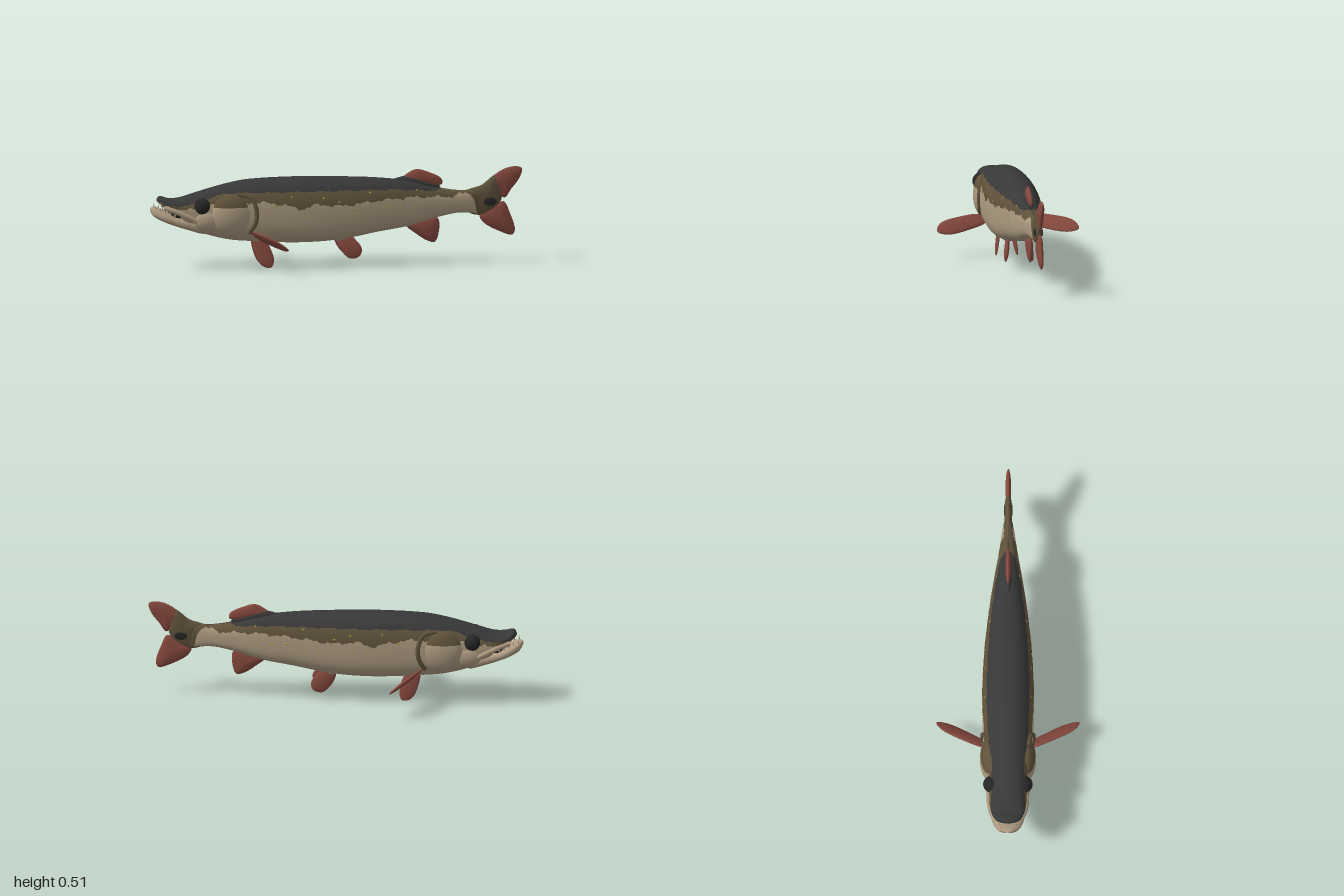
import * as THREE from 'three';

const mat = (name, color, side = THREE.FrontSide) => {
  const m = new THREE.MeshStandardMaterial({ color, side });
  m.name = name;
  return m;
};

// Smooth lookup in a table of [x, a, b, ...] rows
function sample(table, x, col) {
  const n = table.length;
  let i = 0;
  while (i < n - 2 && x > table[i + 1][0]) i++;
  const p = table[i], q = table[i + 1];
  const h = q[0] - p[0], t = THREE.MathUtils.clamp((x - p[0]) / h, 0, 1);
  const slope = (k) => {
    const a = table[Math.max(k - 1, 0)], b = table[Math.min(k + 1, n - 1)];
    return (b[col] - a[col]) / (b[0] - a[0]);
  };
  const t2 = t * t, t3 = t2 * t;
  return (2 * t3 - 3 * t2 + 1) * p[col] + (t3 - 2 * t2 + t) * h * slope(i)
    + (3 * t2 - 2 * t3) * q[col] + (t3 - t2) * h * slope(i + 1);
}

const UP = 2.2, DOWN = 3.2; // roundness above and below the middle

// Half width of a section at height y
function halfWidth(table, x, y) {
  const top = sample(table, x, 1), bot = sample(table, x, 2), w = sample(table, x, 3);
  const t = (y - (top + bot) / 2) / ((top - bot) / 2), n = t > 0 ? UP : DOWN;
  return w * Math.pow(Math.max(0, 1 - Math.pow(Math.abs(t), n)), 1 / n);
}

// Loft through sections, split lengthwise into colour bands at the given heights
function loft(table, bounds, steps, materials) {
  const K = 9, bands = bounds.length + 1, half = bands * K, ring = half * 2;
  const x0 = table[0][0], x1 = table[table.length - 1][0];
  const pos = [], index = [];
  for (let i = 0; i <= steps; i++) {
    const x = x0 + (x1 - x0) * i / steps;
    const top = sample(table, x, 1), bot = sample(table, x, 2), w = sample(table, x, 3);
    const mid = (top + bot) / 2, h = (top - bot) / 2;
    const angles = [Math.PI / 2, ...bounds.map((f) => {
      const t = THREE.MathUtils.clamp((f(x) - mid) / h, -0.999, 0.999);
      return Math.sign(t) * Math.asin(Math.pow(Math.abs(t), (t > 0 ? UP : DOWN) / 2));
    }), -Math.PI / 2];
    for (let j = 0; j < ring; j++) {
      const k = j <= half ? j : ring - j;
      const b = Math.min(Math.floor(k / K), bands - 1);
      const a = THREE.MathUtils.lerp(angles[b], angles[b + 1], (k - b * K) / K);
      const n = a > 0 ? UP : DOWN;
      const y = mid + h * Math.sign(a) * Math.pow(Math.abs(Math.sin(a)), 2 / n);
      const z = w * Math.pow(Math.abs(Math.cos(a)), 2 / n);
      pos.push(x, y, j <= half ? z : -z);
    }
  }
  const g = new THREE.BufferGeometry();
  for (let b = 0; b < bands; b++) {
    const start = index.length;
    for (let i = 0; i < steps; i++) for (let j = 0; j < ring; j++) {
      const k = j < half ? j : ring - 1 - j;
      if (Math.floor(k / K) !== b) continue;
      const p = i * ring + j, q = i * ring + (j + 1) % ring;
      index.push(p, q, p + ring, q, q + ring, p + ring);
    }
    g.addGroup(start, index.length - start, b);
  }
  g.setAttribute('position', new THREE.Float32BufferAttribute(pos, 3));
  g.setIndex(index);
  g.computeVertexNormals();
  return new THREE.Mesh(g, materials);
}

// Lens-shaped fin from an outline in the xy plane
function finGeometry(points, thick) {
  const curve = new THREE.CatmullRomCurve3(points.map((p) => new THREE.Vector3(p[0], p[1], 0)), true);
  let out = curve.getPoints(48).slice(0, 48);
  if (THREE.ShapeUtils.area(out) < 0) out = out.reverse();
  const c = out.reduce((s, p) => s.add(p), new THREE.Vector3()).divideScalar(out.length);
  const pos = [], index = [], n = out.length, R = 10;
  for (let k = 0; k <= R; k++) for (const p of out) {
    const s = Math.sin(Math.PI * k / R);
    pos.push(c.x + (p.x - c.x) * s, c.y + (p.y - c.y) * s, thick * Math.cos(Math.PI * k / R));
  }
  for (let k = 0; k < R; k++) for (let j = 0; j < n; j++) {
    const a = k * n + j, b = k * n + (j + 1) % n;
    index.push(a, a + n, b, b, a + n, b + n);
  }
  const g = new THREE.BufferGeometry();
  g.setAttribute('position', new THREE.Float32BufferAttribute(pos, 3));
  g.setIndex(index);
  g.computeVertexNormals();
  return g;
}

const leaf = (L, W) => [[0, -0.25 * W], [0.4 * L, -0.5 * W], [0.85 * L, -0.42 * W], [L, 0.05 * W],
  [0.85 * L, 0.38 * W], [0.4 * L, 0.45 * W], [0, 0.25 * W]];

export function createModel() {
  const model = new THREE.Group();
  model.name = 'fish';
  const back = mat('charcoal back', 0x383838), band = mat('olive brown', 0x5f523b);
  const belly = mat('tan belly', 0xac9a80), red = mat('fin red', 0x86493e);
  const black = mat('eye black', 0x262626), gold = mat('gold fleck', 0xb39a45);
  const add = (name, geo, material, x = 0, y = 0, z = 0) => {
    const m = new THREE.Mesh(geo, material);
    m.name = name;
    m.position.set(x, y, z);
    model.add(m);
    return m;
  };

  // Body with snout: x, top, bottom, half width
  const body = [
    [-0.965, 0.376, 0.368, 0.004], [-0.95, 0.391, 0.35, 0.055], [-0.9, 0.378, 0.328, 0.086],
    [-0.86, 0.378, 0.3, 0.094], [-0.82, 0.387, 0.245, 0.1], [-0.74, 0.412, 0.2, 0.106],
    [-0.6, 0.45, 0.16, 0.122], [-0.47, 0.473, 0.146, 0.132], [-0.2, 0.482, 0.133, 0.138],
    [0.02, 0.477, 0.145, 0.128], [0.22, 0.467, 0.18, 0.107], [0.385, 0.447, 0.207, 0.084],
    [0.545, 0.408, 0.25, 0.057], [0.65, 0.391, 0.27, 0.04], [0.73, 0.392, 0.267, 0.027],
    [0.79, 0.4, 0.265, 0.012], [0.8, 0.34, 0.32, 0.002]];
  const upperEdge = [[-0.965, 0.37], [-0.9, 0.35], [-0.8, 0.355], [-0.7, 0.385], [-0.6, 0.41],
    [-0.2, 0.415], [0.3, 0.412], [0.45, 0.4], [0.56, 0.4], [0.62, 0.42], [0.8, 0.5]];
  const lowerEdge = [[-0.965, 0.36], [-0.9, 0.34], [-0.8, 0.33], [-0.65, 0.355], [-0.42, 0.365],
    [-0.3, 0.35], [-0.2, 0.328], [-0.12, 0.348], [0, 0.338], [0.2, 0.357], [0.4, 0.368],
    [0.6, 0.362], [0.735, 0.355], [0.765, 0.2], [0.8, 0.1]];
  const ragged = (x, s) => s * (Math.sin(47 * x) + 0.7 * Math.sin(113 * x + 1) + 0.5 * Math.sin(211 * x));
  const trunk = loft(body, [(x) => sample(upperEdge, x, 1) + ragged(x, 0.0025),
    (x) => sample(lowerEdge, x, 1) + ragged(x + 0.3, 0.005)], 220, [back, band, belly]);
  trunk.name = 'body';
  model.add(trunk);

  // Projecting lower jaw
  const jaw = loft([[-1, 0.328, 0.318, 0.004], [-0.985, 0.336, 0.288, 0.045], [-0.93, 0.316, 0.257, 0.08],
    [-0.87, 0.292, 0.234, 0.091], [-0.8, 0.28, 0.212, 0.099], [-0.72, 0.27, 0.19, 0.1],
    [-0.68, 0.25, 0.2, 0.06]], [], 36, [belly]);
  jaw.name = 'lowerJaw';
  model.add(jaw);
  const throat = add('mouthInterior', new THREE.SphereGeometry(1, 20, 14), black, -0.855, 0.295, 0);
  throat.scale.set(0.05, 0.03, 0.075);

  for (const s of [1, -1]) {
    // Eye, lip, teeth
    add('eye', new THREE.SphereGeometry(0.044, 24, 16), black, -0.732, 0.345, s * 0.088);
    const lip = new THREE.CatmullRomCurve3([[-0.93, 0.338, 0.07], [-0.88, 0.322, 0.088], [-0.82, 0.295, 0.098],
      [-0.76, 0.265, 0.1]].map((p) => new THREE.Vector3(p[0], p[1], s * p[2])));
    add('upperLip', new THREE.TubeGeometry(lip, 20, 0.014, 8), belly);
    for (let i = 0; i < 5; i++) {
      add('tooth', new THREE.ConeGeometry(0.006, 0.026, 6), belly,
        -0.975 + i * 0.025, 0.336 - i * 0.008, s * (0.035 + i * 0.009));
    }
    const cheek = add('cheek', new THREE.SphereGeometry(1, 24, 16), belly, -0.7, 0.265, s * 0.085);
    cheek.scale.set(0.085, 0.06, 0.038);

    // Gill cover in two colours, with a dark rear rim
    const R = Math.PI;
    for (const [name, m, from, len] of [['gillCoverTop', band, 0, 0.37 * R], ['gillCover', belly, 0.37 * R, 0.63 * R]]) {
      const cover = add(name, new THREE.SphereGeometry(1, 32, 16, 0, 2 * R, from, len), m, -0.57, 0.295, s * 0.095);
      cover.scale.set(0.118, 0.115, 0.055);
    }
    const rim = new THREE.CatmullRomCurve3([[-0.54, 0.408], [-0.475, 0.39], [-0.447, 0.33], [-0.45, 0.26], [-0.485, 0.2]]
      .map(([x, y]) => new THREE.Vector3(x, y, s * (halfWidth(body, x, y) + 0.002))));
    add('gillRim', new THREE.TubeGeometry(rim, 28, 0.012, 8), band);

    // Paired fins: root, tip, chord direction, width, thickness
    const pairs = [
      ['pectoralFin', [-0.46, 0.19, 0.11], [-0.312, 0.15, 0.382], [0.55, -0.6, -0.4], 0.1, 0.011],
      ['throatFin', [-0.43, 0.175, 0.03], [-0.362, 0.002, 0.058], [1, 0.3, 0], 0.088, 0.009],
      ['pelvicFin', [0.015, 0.165, 0.05], [0.115, 0.056, 0.072], [1, 0.9, 0], 0.1, 0.013]];
    for (const [name, root, tip, chord, width, thick] of pairs) {
      const v = (p) => new THREE.Vector3(p[0], p[1], s * p[2]);
      const U = v(tip).sub(v(root)), L = U.length();
      U.normalize();
      const N = U.clone().cross(v(chord)).normalize(), V = N.clone().cross(U);
      const g = finGeometry(leaf(L, width), thick);
      g.applyMatrix4(new THREE.Matrix4().makeBasis(U, V, N));
      add(name, g, red, ...v(root).toArray());
    }
    const base = add('pelvicFinBase', new THREE.SphereGeometry(1, 16, 12), belly, 0.02, 0.162, s * 0.052);
    base.scale.set(0.035, 0.025, 0.018);

    // Gold flecks along the side band
    for (let i = 0; i < 10; i++) {
      const x = -0.34 + i * 0.085, y = 0.345 + 0.06 * Math.sin(i * 2.3);
      const fleck = add('fleck', new THREE.SphereGeometry(1, 8, 6), gold, x, y, s * halfWidth(body, x, y));
      fleck.scale.set(0.007, 0.005, 0.003);
    }

    // Dark tail spot
    const spot = add('tailSpot', new THREE.SphereGeometry(1, 16, 10), black, 0.825, 0.327, s * 0.019);
    spot.scale.set(0.035, 0.022, 0.004);
  }

  // Tail: brown root and red lobes
  add('tailRoot', finGeometry([[0.7, 0.383], [0.78, 0.415], [0.86, 0.47], [0.885, 0.42], [0.89, 0.345],
    [0.865, 0.3], [0.79, 0.255], [0.7, 0.278]], 0.021), band);
  add('tailUpperLobe', finGeometry([[0.8, 0.415], [0.85, 0.468], [0.91, 0.503], [0.97, 0.512], [0.998, 0.5],
    [0.985, 0.45], [0.94, 0.39], [0.905, 0.345], [0.86, 0.38]], 0.015), red);
  add('tailLowerLobe', finGeometry([[0.77, 0.255], [0.84, 0.3], [0.9, 0.325], [0.93, 0.27], [0.96, 0.17],
    [0.945, 0.145], [0.87, 0.168], [0.79, 0.215]], 0.017), red);

  // Dorsal fin with dark base, and anal fin
  add('dorsalFin', finGeometry([[0.34, 0.45], [0.38, 0.485], [0.43, 0.508], [0.5, 0.49], [0.565, 0.455],
    [0.568, 0.425], [0.5, 0.42], [0.42, 0.43]], 0.015), red);
  add('dorsalFinBase', finGeometry([[0.3, 0.45], [0.36, 0.472], [0.42, 0.468], [0.5, 0.438], [0.56, 0.412],
    [0.5, 0.395], [0.4, 0.42]], 0.019), back);
  add('analFin', finGeometry([[0.37, 0.215], [0.43, 0.16], [0.49, 0.122], [0.53, 0.115], [0.552, 0.17],
    [0.545, 0.245], [0.46, 0.245]], 0.017), red);
  return model;
}
